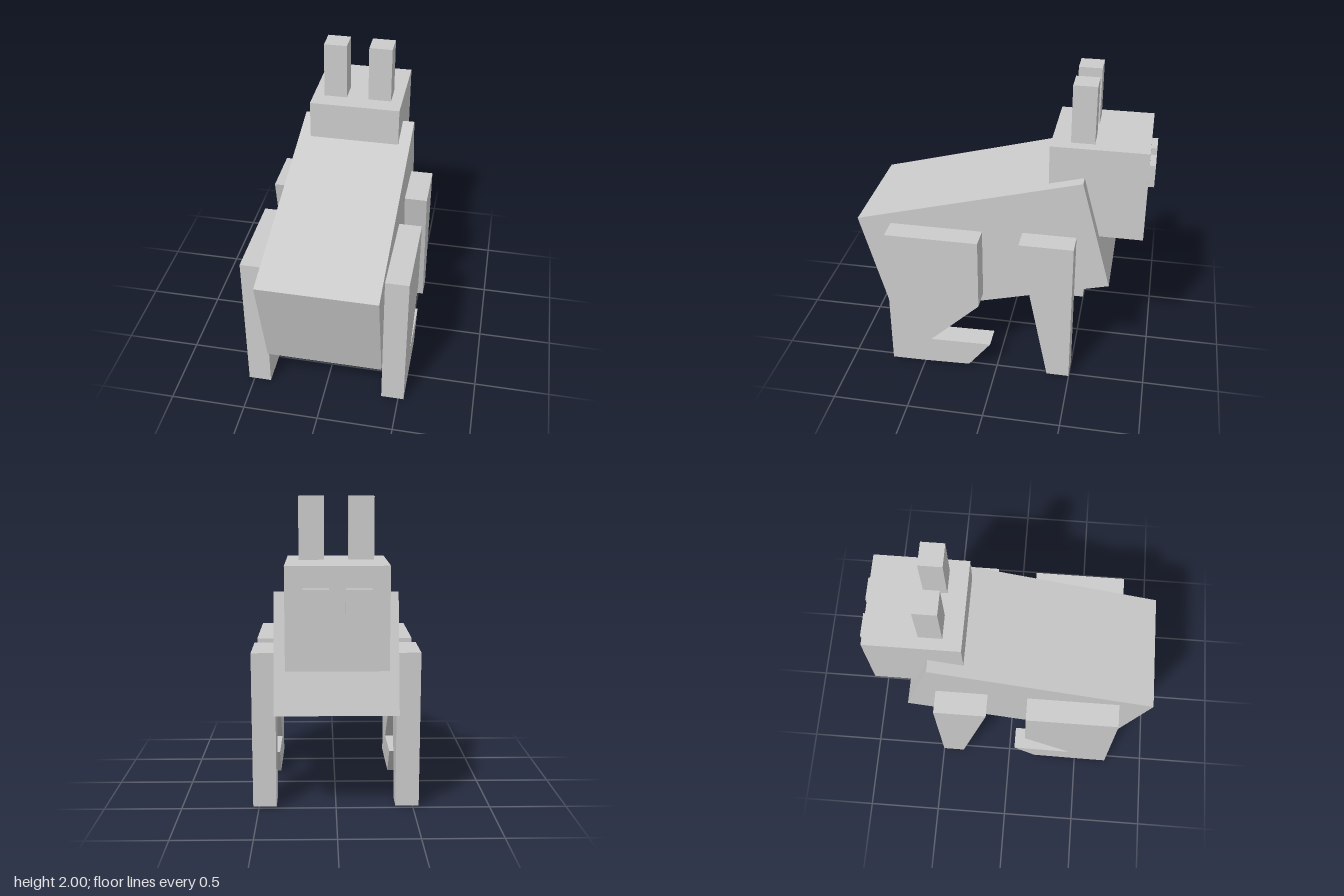
import * as THREE from 'three';

const material = new THREE.MeshStandardMaterial({ color: 0xcccccc, flatShading: true });

// Slab with a side profile of [z, y] points, extruded across x and centred on x = cx
function slab(name, profile, width, cx = 0) {
  const shape = new THREE.Shape(profile.map(([z, y]) => new THREE.Vector2(z, y)));
  const geometry = new THREE.ExtrudeGeometry(shape, { depth: width, bevelEnabled: false });
  geometry.translate(0, 0, -width / 2).rotateY(-Math.PI / 2).translate(cx, 0, 0);
  const mesh = new THREE.Mesh(geometry, material);
  mesh.name = name;
  return mesh;
}

function box(name, size, position) {
  const mesh = new THREE.Mesh(new THREE.BoxGeometry(...size), material);
  mesh.name = name;
  mesh.position.set(...position);
  return mesh;
}

export function createModel() {
  const group = new THREE.Group();
  group.name = 'rabbit';

  // Tilted body, shoulders high and rump low
  group.add(slab('body', [[0.955, 1.02], [-0.527, 1.42], [-0.724, 0.68], [0.76, 0.283]], 0.77));

  // Head, looking towards -z
  group.add(box('head', [0.61, 0.615, 0.615], [0, 1.312, -0.61]));

  const hindLeg = [
    [0.73, 1.005], [0.115, 1.005], [0.115, 0.515], [0.45, 0.195],
    [0.04, 0.205], [0.19, 0.015], [0.5, 0.003], [0.73, 0],
  ];
  const frontLeg = [[-0.15, 1.027], [-0.5, 1.027], [-0.5, 0.012], [-0.35, 0.012]];

  // Mirrored parts
  for (const [side, s] of [['left', 1], ['right', -1]]) {
    group.add(box(`${side}Ear`, [0.155, 0.38, 0.15], [s * 0.152, 1.81, -0.5]));
    group.add(box(`${side}Eye`, [0.153, 0.15, 0.04], [s * 0.124, 1.415, -0.936]));
    group.add(slab(`${side}HindLeg`, hindLeg, 0.152, s * 0.461));
    group.add(slab(`${side}FrontLeg`, frontLeg, 0.152, s * 0.461));
  }

  return group;
}
